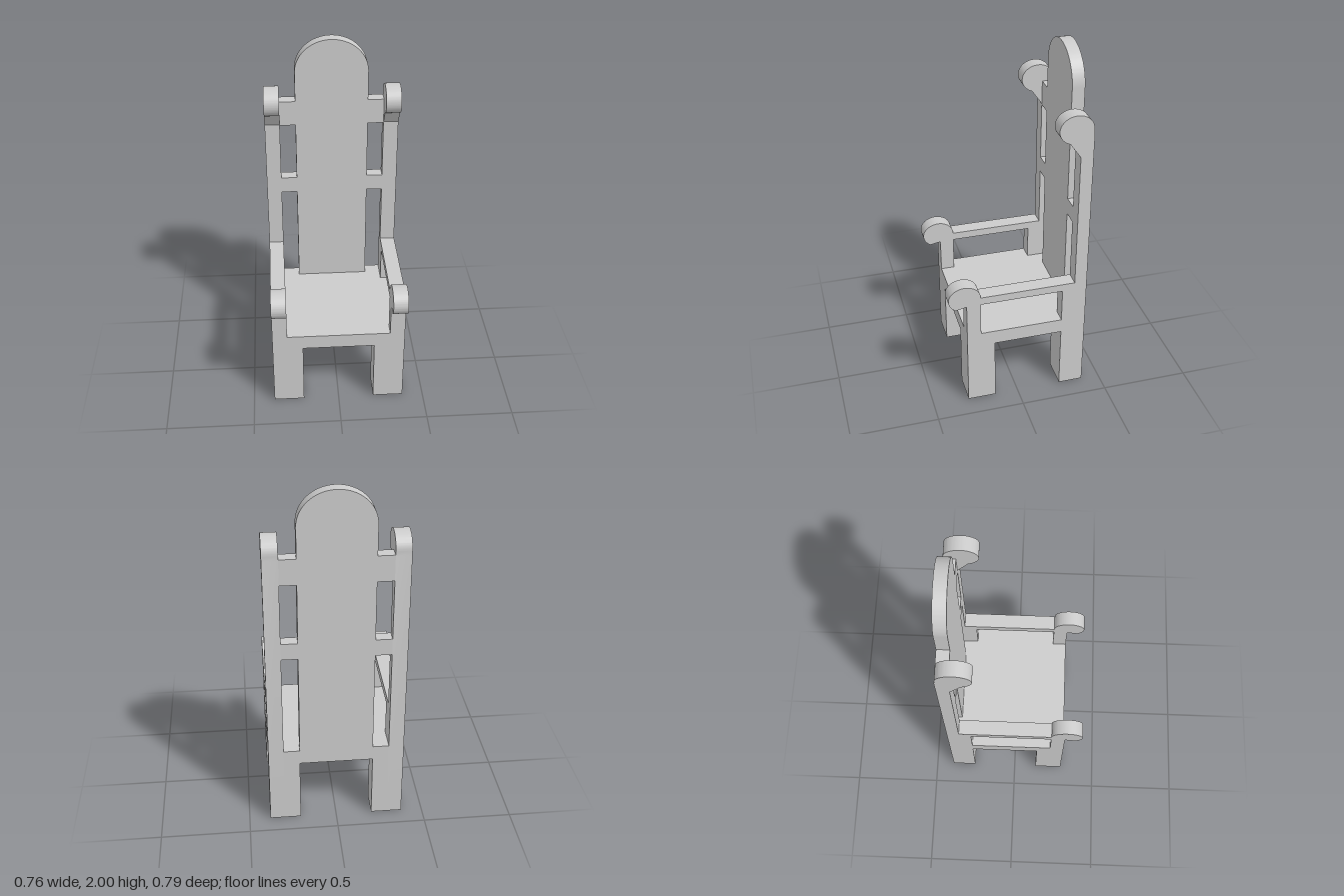
import * as THREE from 'three';
import { toCreasedNormals } from 'three/addons/utils/BufferGeometryUtils.js';

const material = new THREE.MeshStandardMaterial({ color: 0xcccccc });
const BACK = -0.395, BACK_FRONT = -0.325, FRONT = 0.295;
const SEAT_BOTTOM = 0.38, SEAT_TOP = 0.465;
const INNER = 0.295, OUTER = 0.38, SLAT = 0.205;

function add(group, name, geometry) {
  const mesh = new THREE.Mesh(geometry, material);
  mesh.name = name;
  group.add(mesh);
  return mesh;
}

// Box given by its limits on each axis
function box(group, name, [x0, x1], [y0, y1], [z0, z1]) {
  const mesh = add(group, name, new THREE.BoxGeometry(x1 - x0, y1 - y0, z1 - z0));
  mesh.position.set((x0 + x1) / 2, (y0 + y1) / 2, (z0 + z1) / 2);
}

function extrude(shape, depth) {
  const geometry = new THREE.ExtrudeGeometry(shape, { depth, bevelEnabled: false, curveSegments: 32 });
  return toCreasedNormals(geometry, 0.5);
}

// Side frame profile in (z, y): legs, seat rail, arm and post with their scrolls
function sideProfile() {
  const s = new THREE.Shape();
  s.moveTo(BACK, 0);
  s.lineTo(-0.255, 0);
  s.lineTo(-0.255, SEAT_BOTTOM);
  s.lineTo(0.135, SEAT_BOTTOM);
  s.lineTo(0.135, 0);
  s.lineTo(FRONT, 0);
  s.lineTo(FRONT, 0.663);
  // arm scroll
  s.absellipse(0.306, 0.715, 0.09, 0.077, -0.98, Math.PI + 0.06, false);
  s.lineTo(BACK_FRONT, 0.71);
  s.lineTo(BACK_FRONT, 1.5);
  // post scroll
  s.absellipse(-0.299, 1.66, 0.093, 0.081, -1.2, Math.PI + 0.1, false);
  s.lineTo(BACK, 1.63);
  s.closePath();
  // opening below the arm
  const hole = new THREE.Path();
  hole.moveTo(-0.255, SEAT_TOP);
  hole.lineTo(-0.255, 0.665);
  hole.lineTo(0.215, 0.665);
  hole.lineTo(0.215, SEAT_TOP);
  hole.closePath();
  s.holes.push(hole);
  return s;
}

export function createModel() {
  const chair = new THREE.Group();
  chair.name = 'chair';

  box(chair, 'seat', [-INNER, INNER], [SEAT_BOTTOM, SEAT_TOP], [BACK, FRONT]);

  // Tall centre panel with an arched top
  const panel = new THREE.Shape();
  panel.moveTo(-SLAT, SEAT_TOP);
  panel.lineTo(SLAT, SEAT_TOP);
  panel.lineTo(SLAT, 1.81);
  panel.absellipse(0, 1.81, SLAT, 0.19, 0, Math.PI, false);
  panel.closePath();
  add(chair, 'backPanel', extrude(panel, BACK_FRONT - BACK)).position.z = BACK;

  const frame = extrude(sideProfile(), OUTER - INNER);
  frame.rotateY(-Math.PI / 2);

  for (const [side, sign] of [['left', 1], ['right', -1]]) {
    add(chair, side + 'SideFrame', frame).position.x = sign > 0 ? OUTER : -INNER;
    const span = sign > 0 ? [SLAT, INNER] : [-INNER, -SLAT];
    // Inner halves of the legs
    box(chair, side + 'FrontLeg', span, [0, SEAT_BOTTOM], [0.135, FRONT]);
    box(chair, side + 'BackLeg', span, [0, SEAT_BOTTOM], [BACK, -0.255]);
    // Rails joining post and back panel
    box(chair, side + 'LowerRail', span, [1.06, 1.155], [BACK, BACK_FRONT]);
    box(chair, side + 'UpperRail', span, [1.495, 1.64], [BACK, BACK_FRONT]);
  }
  return chair;
}
